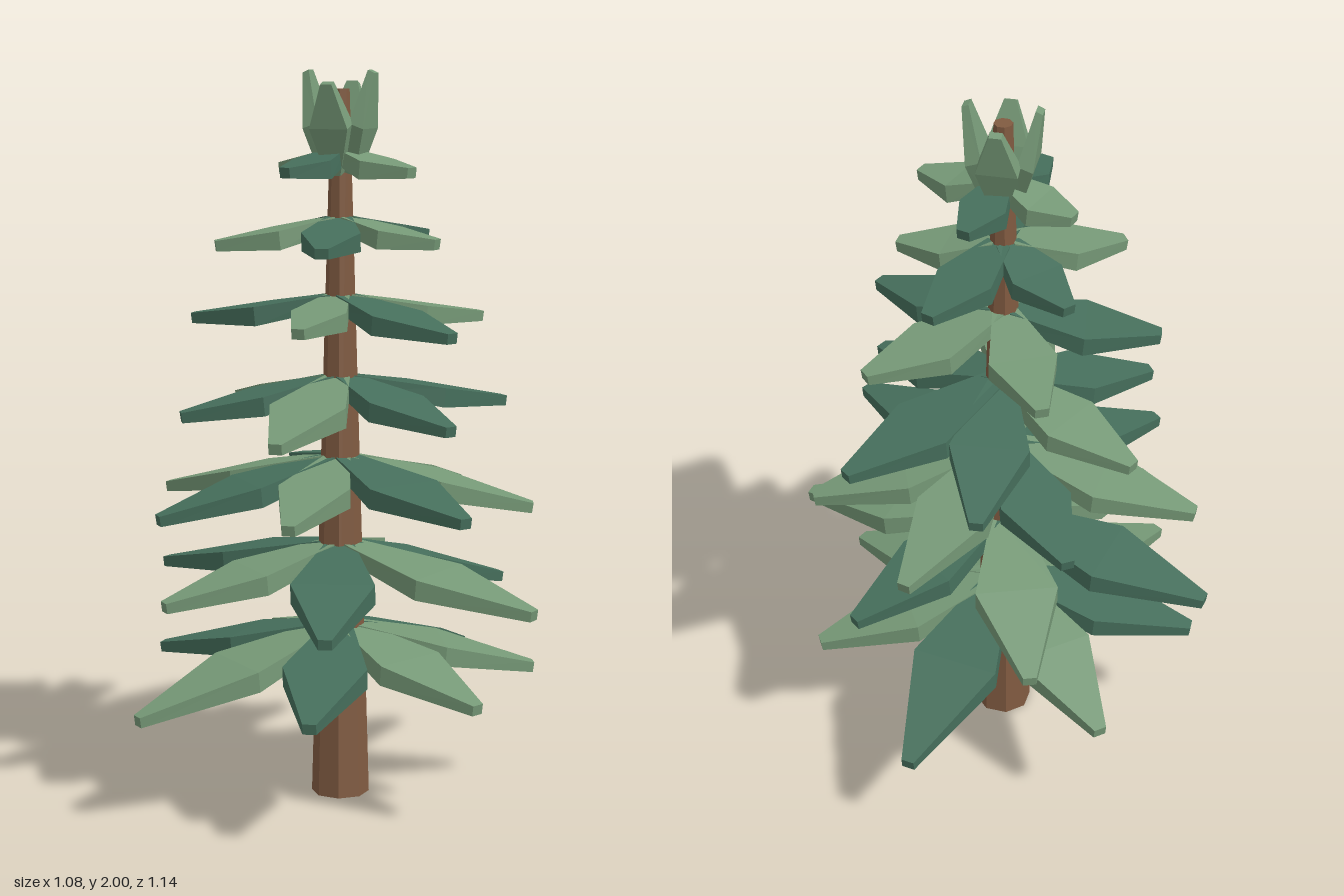
import * as THREE from 'three';

const material = (name, color) => {
  const m = new THREE.MeshStandardMaterial({ color, flatShading: true });
  m.name = name;
  return m;
};

// Blade along +x; each section is [r, y, halfWidth, thicknessR, thicknessY]
function bladeGeometry(sections) {
  const pos = [];
  const rings = sections.map(([r, y, w, tr, ty]) => [
    [r, y, w], [r, y, -w], [r + tr, y + ty, -w], [r + tr, y + ty, w],
  ]);
  const quad = (a, b, c, d) => pos.push(...a, ...b, ...c, ...a, ...c, ...d);
  for (let i = 0; i < rings.length - 1; i++) {
    for (let k = 0; k < 4; k++) {
      const n = (k + 1) % 4;
      quad(rings[i][k], rings[i + 1][k], rings[i + 1][n], rings[i][n]);
    }
  }
  const first = rings[0], last = rings[rings.length - 1];
  quad(first[0], first[1], first[2], first[3]);
  quad(last[3], last[2], last[1], last[0]);
  const g = new THREE.BufferGeometry();
  g.setAttribute('position', new THREE.Float32BufferAttribute(pos, 3));
  g.computeVertexNormals();
  return g;
}

// Drooping branch: narrow root, wide middle, blunt tip
function branchGeometry(reach, drop) {
  const s = reach / 0.6;
  return bladeGeometry([
    [0.02, 0, 0.035, 0, -0.04],
    [reach * 0.52, -drop * 0.36, 0.038 + 0.08 * s, -0.005, -0.045 - 0.01 * s],
    [reach, -drop + 0.028, 0.018, -0.004, -0.028],
  ]);
}

// Tiers: height of the roots, then [angle in degrees, reach, drop, dark]
const L = false, D = true;
const TIERS = [
  [0.49, [[350, 0.545, 0.16, L], [43, 0.53, 0.16, L], [94, 0.57, 0.16, D],
    [145, 0.63, 0.21, L], [198, 0.55, 0.14, D], [249, 0.58, 0.16, L], [300, 0.645, 0.21, D]]],
  [0.72, [[29, 0.61, 0.15, L], [90, 0.56, 0.17, D], [149, 0.53, 0.15, L],
    [210, 0.61, 0.15, D], [269, 0.565, 0.16, L], [329, 0.515, 0.17, D]]],
  [0.96, [[358, 0.53, 0.16, L], [50, 0.55, 0.12, D], [103, 0.46, 0.14, L],
    [153, 0.53, 0.16, D], [203, 0.55, 0.15, L], [255, 0.47, 0.1, D], [306, 0.53, 0.16, L]]],
  [1.18, [[329, 0.52, 0.12, D], [45, 0.44, 0.12, D], [105, 0.51, 0.14, L],
    [165, 0.44, 0.12, D], [225, 0.44, 0.12, L], [284, 0.515, 0.13, D]]],
  [1.4, [[335, 0.42, 0.09, L], [42, 0.42, 0.1, D], [107, 0.31, 0.09, L],
    [190, 0.42, 0.09, D], [262, 0.4, 0.08, L]]],
  [1.61, [[23, 0.29, 0.08, L], [95, 0.31, 0.09, D], [168, 0.34, 0.09, L],
    [241, 0.29, 0.08, D], [311, 0.335, 0.08, D]]],
  [1.79, [[37, 0.25, 0.07, L], [128, 0.22, 0.07, D], [217, 0.21, 0.07, L],
    [305, 0.21, 0.07, D]]],
];

export function createModel() {
  const tree = new THREE.Group();
  tree.name = 'coniferTree';
  const bark = material('barkBrown', 0x815b41);
  const light = material('lightNeedleGreen', 0x769977);
  const dark = material('darkNeedleGreen', 0x466f5c);

  // Tapered trunk
  const trunk = new THREE.Mesh(new THREE.CylinderGeometry(0.025, 0.08, 1.95, 8), bark);
  trunk.name = 'trunk';
  trunk.position.y = 0.975;
  tree.add(trunk);

  // Branch tiers
  TIERS.forEach(([height, branches], t) => {
    const tier = new THREE.Group();
    tier.name = `branchTier${t + 1}`;
    tier.position.y = height;
    for (const [angle, reach, drop, isDark] of branches) {
      const branch = new THREE.Mesh(branchGeometry(reach, drop), isDark ? dark : light);
      branch.name = 'branch';
      branch.rotation.y = -THREE.MathUtils.degToRad(angle);
      tier.add(branch);
    }
    tree.add(tier);
  });

  // Crown of upright leaves
  const crown = new THREE.Group();
  crown.name = 'crown';
  for (let i = 0; i < 4; i++) {
    const tip = i % 2 ? 1.97 : 2;
    const leaf = new THREE.Mesh(bladeGeometry([
      [0.015, 1.73, 0.02, 0.035, -0.01],
      [0.045, 1.86, 0.055, 0.042, -0.015],
      [0.085, tip, 0.016, 0.018, -0.008],
    ]), light);
    leaf.name = 'crownLeaf';
    leaf.rotation.y = -THREE.MathUtils.degToRad(18 + i * 90);
    crown.add(leaf);
  }
  tree.add(crown);
  return tree;
}
